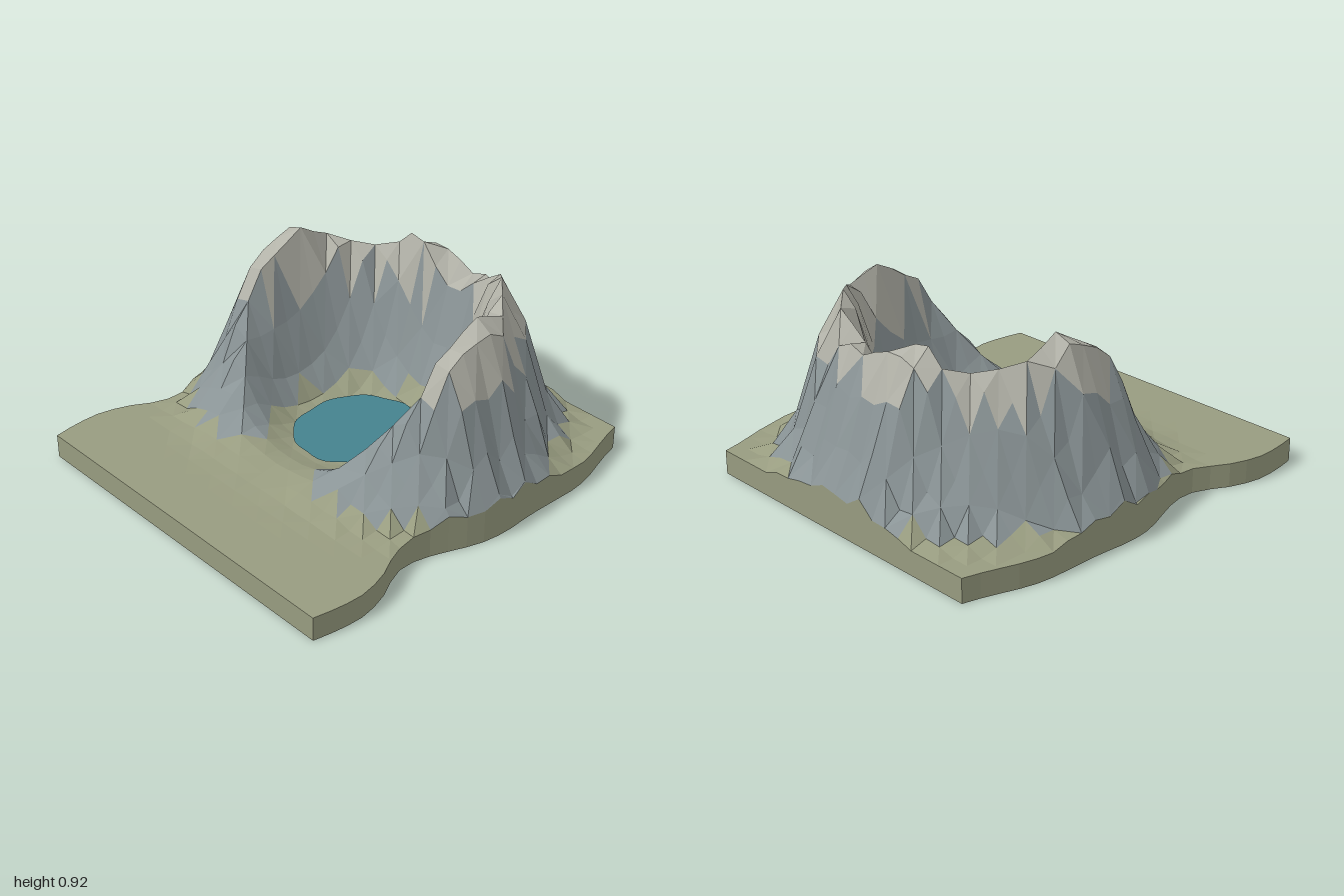
import * as THREE from 'three';

const N = 24;            // grid cells per side
const CZ = -0.1;         // crater centre on z
const FLOOR = 0.10, PLAIN = 0.118;

// Piecewise-linear lookup through [key, value] pairs
function lookup(t, pts) {
  if (t <= pts[0][0]) return pts[0][1];
  for (let i = 1; i < pts.length; i++) {
    const [a, va] = pts[i - 1], [b, vb] = pts[i];
    if (t <= b) return va + (vb - va) * (t - a) / (b - a);
  }
  return pts[pts.length - 1][1];
}

// Half width of the wavy slab along z
const WIDTH = [[-1, 0.81], [-0.9, 0.835], [-0.75, 0.885], [-0.63, 0.915], [-0.3, 0.915], [-0.12, 0.93],
  [0, 0.915], [0.1, 0.885], [0.2, 0.845], [0.3, 0.812], [0.4, 0.805], [0.5, 0.845], [0.6, 0.9],
  [0.7, 0.93], [0.78, 0.94], [0.9, 0.928], [1, 0.91]];

// Crest height by angle from the front (degrees), for each side
const FRONT = [[0, 0.15], [15, 0.16], [30, 0.2], [45, 0.31], [60, 0.46], [73, 0.64], [84, 0.84]];
const CREST_LEFT = [...FRONT, [97, 0.92], [108, 0.9], [118, 0.845], [128, 0.89], [138, 0.92],
  [147, 0.89], [157, 0.81], [170, 0.765], [180, 0.785]];
const CREST_RIGHT = [...FRONT, [93, 0.91], [103, 0.92], [115, 0.84], [126, 0.79], [137, 0.78],
  [144, 0.74], [150, 0.81], [158, 0.88], [166, 0.885], [180, 0.785]];

// Radial profiles: bowl inside the crest, flank outside it
const BOWL = [[0.31, 0], [0.35, 0.045], [0.4, 0.13], [0.45, 0.28], [0.5, 0.5], [0.55, 0.76], [0.6, 1]];
const FLANK = [[0.66, 1], [0.7, 0.86], [0.75, 0.69], [0.8, 0.48], [0.85, 0.27], [0.92, 0.08], [1.03, 0]];

function height(x, z) {
  const dz = z - CZ, r = Math.hypot(x, dz);
  const deg = Math.atan2(Math.abs(x), dz) * 180 / Math.PI;
  const crest = lookup(deg, x >= 0 ? CREST_LEFT : CREST_RIGHT);
  const rr = r * lookup(deg, [[0, 1.3], [30, 1.18], [70, 1.03], [90, 1]]);
  const ripple = 1 + 0.025 * Math.sin(deg * 0.7 + x * 5);
  if (rr < 0.63) return FLOOR + (crest - FLOOR) * lookup(rr, BOWL);
  return PLAIN + (crest - PLAIN) * lookup(rr * ripple, FLANK);
}

function meshFrom(name, positions, color) {
  const g = new THREE.BufferGeometry();
  g.setAttribute('position', new THREE.Float32BufferAttribute(positions, 3));
  g.computeVertexNormals();
  const m = new THREE.Mesh(g, new THREE.MeshStandardMaterial({ color, flatShading: true }));
  m.name = name;
  return m;
}

export function createModel() {
  const group = new THREE.Group();
  group.name = 'craterLandscape';

  // Height grid, its outer columns pulled in to the wavy border
  const grid = [];
  for (let j = 0; j <= N; j++) {
    const z = -1 + 2 * j / N, w = lookup(z, WIDTH), row = [];
    for (let i = 0; i <= N; i++) {
      const x = THREE.MathUtils.clamp(-1 + 2 * i / N, -w, w);
      row.push([x, height(x, z), z]);
    }
    grid.push(row);
  }

  // Terrain triangles sorted into bands by mean height
  const grass = [], rock = [], crest = [];
  const addFace = (a, b, c) => {
    const area = (b[0] - a[0]) * (c[2] - a[2]) - (b[2] - a[2]) * (c[0] - a[0]);
    if (Math.abs(area) < 1e-7) return;
    const y = (a[1] + b[1] + c[1]) / 3;
    (y < 0.175 ? grass : y < 0.66 ? rock : crest).push(...a, ...b, ...c);
  };
  for (let j = 0; j < N; j++) for (let i = 0; i < N; i++) {
    const a = grid[j][i], b = grid[j][i + 1], c = grid[j + 1][i + 1], d = grid[j + 1][i];
    if ((i + j) % 2) { addFace(a, d, b); addFace(b, d, c); }
    else { addFace(a, d, c); addFace(a, c, b); }
  }
  group.add(meshFrom('grassland', grass, 0x989c80));
  group.add(meshFrom('rockSlopes', rock, 0x8a9496));
  group.add(meshFrom('paleCrest', crest, 0xb2b2a8));

  // Slab: side walls and underside
  const slab = [];
  const down = p => [p[0], 0, p[2]];
  const quad = (a, b, c, d) => slab.push(...a, ...b, ...c, ...a, ...c, ...d);
  const wall = (a, b) => quad(down(a), down(b), b, a);
  for (let k = 0; k < N; k++) {
    wall(grid[N][k], grid[N][k + 1]);
    wall(grid[0][k + 1], grid[0][k]);
    wall(grid[k + 1][N], grid[k][N]);
    wall(grid[k][0], grid[k + 1][0]);
    quad(down(grid[k][0]), down(grid[k][N]), down(grid[k + 1][N]), down(grid[k + 1][0]));
  }
  group.add(meshFrom('slab', slab, 0x989c80));

  // Lake with a slightly wobbly shore
  const shore = [];
  for (let k = 0; k < 48; k++) {
    const t = k / 48 * Math.PI * 2;
    const s = 1 + 0.018 * Math.sin(t * 9) + 0.015 * Math.sin(t * 5 + 1);
    shore.push(new THREE.Vector2(0.275 * s * Math.cos(t), 0.313 * s * Math.sin(t)));
  }
  const lake = new THREE.Mesh(new THREE.ShapeGeometry(new THREE.Shape(shore)),
    new THREE.MeshStandardMaterial({ color: 0x45828e }));
  lake.name = 'lake';
  lake.rotation.x = -Math.PI / 2;
  lake.position.set(0, 0.128, -0.075);
  group.add(lake);

  return group;
}
